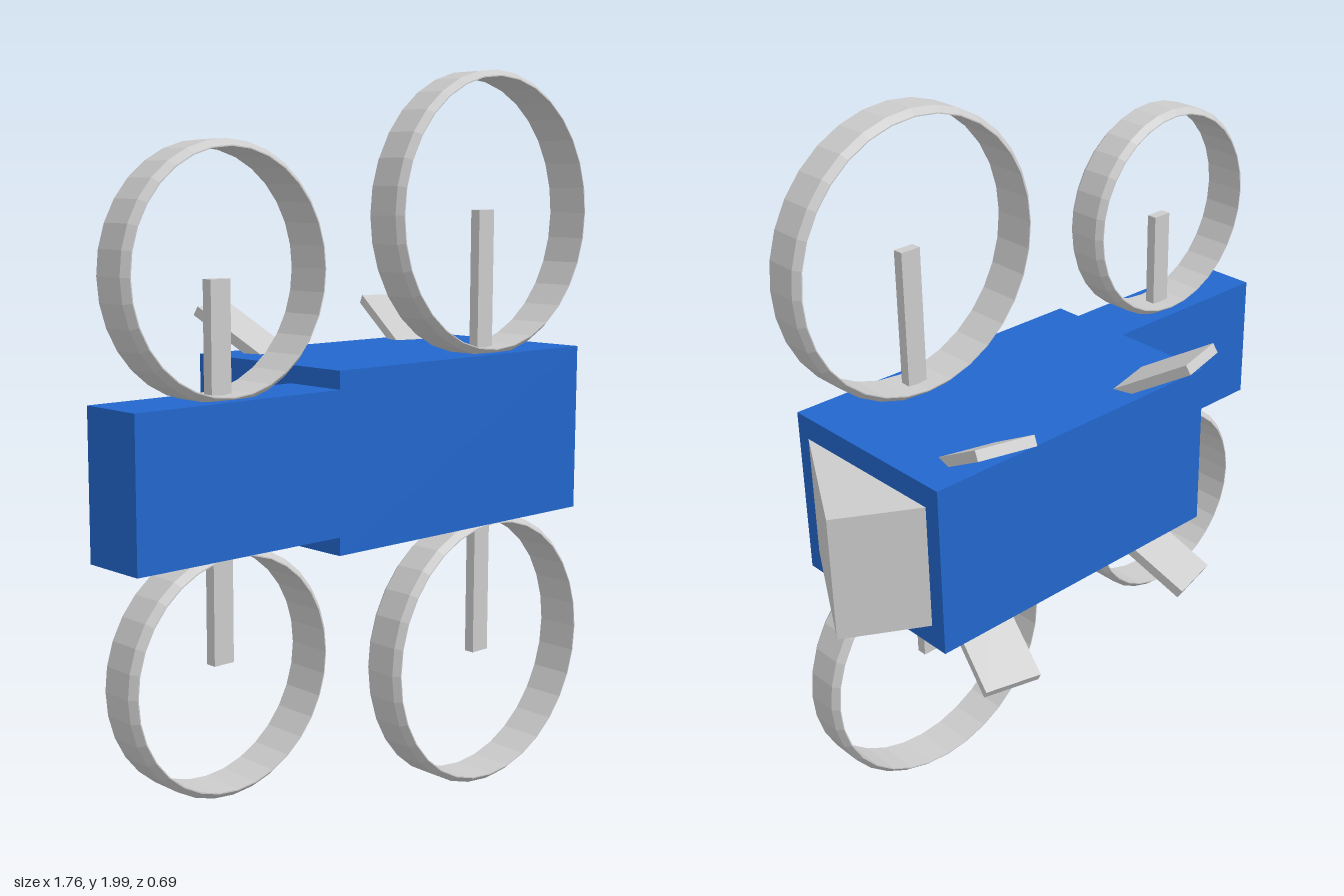
import * as THREE from 'three';

const MID_Y = 1.0035; // the model mirrors top to bottom about this height
const RING_Z = 0.2525;

const grey = new THREE.MeshStandardMaterial({ color: 0xcccccc, flatShading: true });
const blue = new THREE.MeshStandardMaterial({ color: 0x2266cc, flatShading: true });

function add(parent, name, geometry, material, x, y, z) {
  const mesh = new THREE.Mesh(geometry, material);
  mesh.name = name;
  mesh.position.set(x, y, z);
  parent.add(mesh);
  return mesh;
}

// Thin hoop with chamfered outer rims, its axis along z
function hoopGeometry(radius) {
  const half = 0.0625, flat = 0.045, inner = radius - 0.018, rim = radius - 0.015;
  const profile = [
    [inner, -half], [rim, -half], [radius, -flat], [radius, flat],
    [rim, half], [inner, half], [inner, -half],
  ].map(([r, h]) => new THREE.Vector2(r, h));
  return new THREE.LatheGeometry(profile, 32).rotateX(Math.PI / 2);
}

export function createModel() {
  const model = new THREE.Group();
  model.name = 'ringedCraft';

  // Hull: a large block and a narrower one beside it
  add(model, 'mainHull', new THREE.BoxGeometry(0.935, 0.47, 0.56), blue, 0.2075, MID_Y, 0.065);
  add(model, 'sideHull', new THREE.BoxGeometry(0.625, 0.375, 0.185), blue, -0.5725, MID_Y, 0.2525);

  // Turned block sunk into the end of the main hull
  const nose = add(model, 'noseBlock', new THREE.BoxGeometry(0.3, 0.345, 0.44), grey, 0.64, MID_Y, 0.0655);
  nose.rotation.y = -Math.PI / 6;

  // Hoops above and below, with one strut through the hull for each pair
  const pairs = [
    { size: 'large', x: 0.363, radius: 0.385, offset: 0.6125, strut: 1.248 },
    { size: 'small', x: -0.574, radius: 0.31, offset: 0.4855, strut: 0.94 },
  ];
  for (const { size, x, radius, offset, strut } of pairs) {
    add(model, `${size}Strut`, new THREE.BoxGeometry(0.06, strut, 0.03), grey, x, MID_Y, RING_Z);
    const hoop = hoopGeometry(radius);
    add(model, `${size}UpperHoop`, hoop, grey, x, MID_Y + offset, RING_Z);
    add(model, `${size}LowerHoop`, hoop, grey, x, MID_Y - offset, RING_Z);
  }

  // Four splayed fins leaning backward out of the main hull
  const finGeometry = new THREE.BoxGeometry(0.155, 0.028, 0.3);
  for (const side of [1, -1]) {
    for (const up of [1, -1]) {
      const name = `${up > 0 ? 'upper' : 'lower'}${side > 0 ? 'Left' : 'Right'}Fin`;
      const fin = add(model, name, finGeometry, grey, 0.2075 + side * 0.306, MID_Y + up * 0.27, -0.195);
      fin.rotation.set(up * Math.PI / 6, -side * Math.PI / 12, 0, 'YXZ');
    }
  }
  return model;
}
